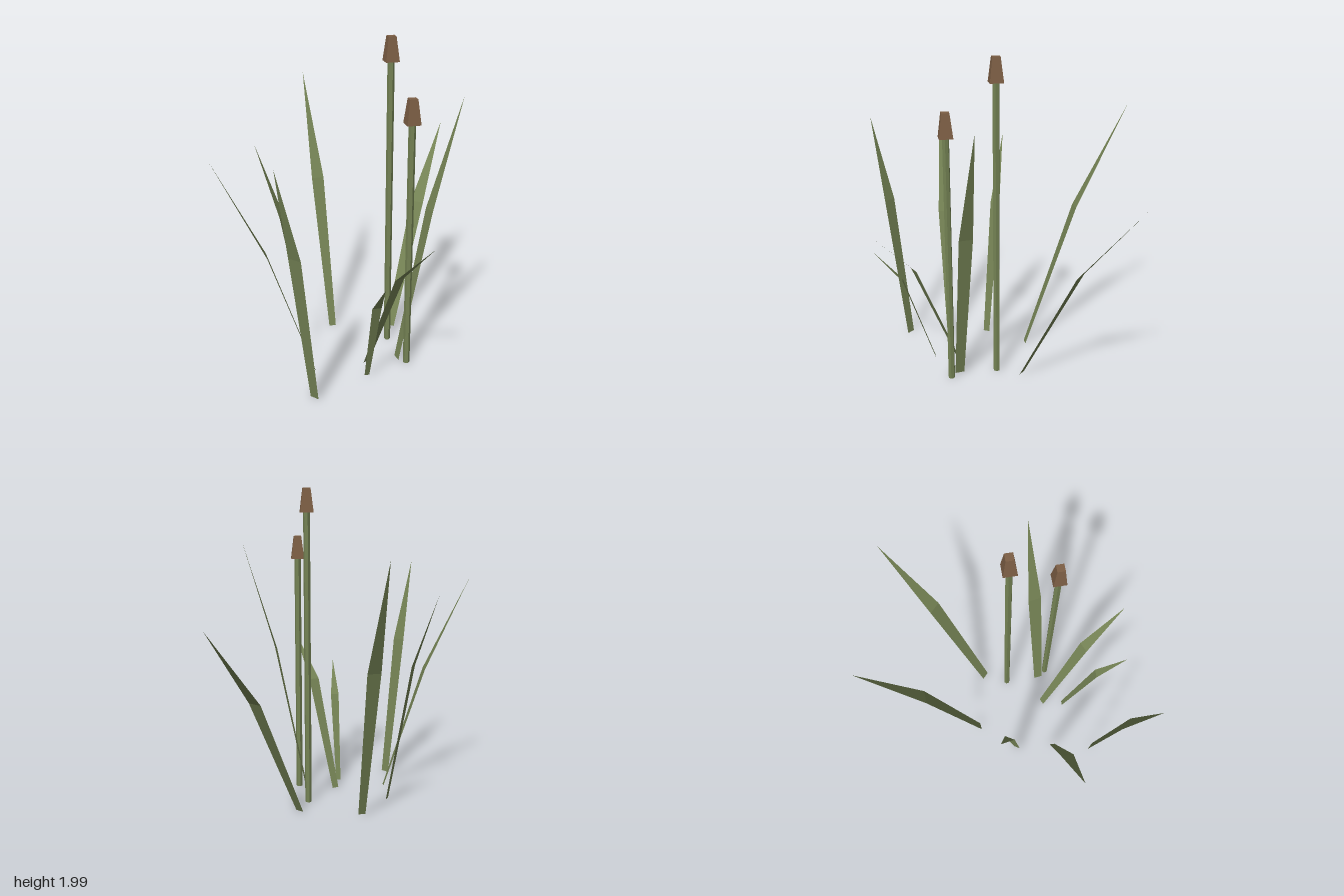
import * as THREE from 'three';

const leafGreen = new THREE.MeshStandardMaterial({ color: 0x748254, side: THREE.DoubleSide });
leafGreen.name = 'leafGreen';
const headBrown = new THREE.MeshStandardMaterial({ color: 0x7d5f45 });
headBrown.name = 'headBrown';

// Faceted copy with one normal per face
function faceted(geometry) {
  const g = geometry.index ? geometry.toNonIndexed() : geometry;
  g.computeVertexNormals();
  return g;
}

// Flat bent leaf: narrow base, wide middle, pointed tip
function makeBlade(base, mid, tip, baseWidth, midWidth) {
  const [b, m, t] = [base, mid, tip].map((p) => new THREE.Vector3(...p));
  const side = new THREE.Vector3(t.z - b.z, 0, b.x - t.x).normalize();
  const edge = (p, w) => p.clone().addScaledVector(side, w / 2);
  const b0 = edge(b, -baseWidth), b1 = edge(b, baseWidth);
  const m0 = edge(m, -midWidth), m1 = edge(m, midWidth);
  const corners = [b0, b1, m1, b0, m1, m0, m0, m1, t];
  const mesh = new THREE.Mesh(
    faceted(new THREE.BufferGeometry().setFromPoints(corners)), leafGreen);
  mesh.name = 'blade';
  return mesh;
}

// Straight stalk with a tapered four-sided seed head
function makeStalk(x, z, headBottom, headTop) {
  const stalk = new THREE.Group();
  stalk.name = 'stalk';
  const stem = new THREE.Mesh(
    faceted(new THREE.CylinderGeometry(0.021, 0.021, headBottom, 6)), leafGreen);
  stem.name = 'stem';
  stem.position.y = headBottom / 2;
  const height = headTop - headBottom;
  const head = new THREE.Mesh(
    faceted(new THREE.CylinderGeometry(0.033, 0.057, height, 4)), headBrown);
  head.name = 'seedHead';
  head.position.y = headBottom + height / 2;
  stalk.add(stem, head);
  stalk.position.set(x, 0, z);
  return stalk;
}

export function createModel() {
  const model = new THREE.Group();
  model.name = 'reeds';

  // base, middle, tip, base width, middle width
  const blades = [
    [[0.1, 0, -0.22], [0.087, 0.77, -0.61], [0.07, 1.24, -0.99], 0.056, 0.09],
    [[-0.235, 0, -0.018], [-0.475, 0.96, -0.233], [-0.725, 1.61, -0.45], 0.045, 0.08],
    [[0.322, 0, 0.105], [0.44, 0.98, -0.055], [0.56, 1.655, -0.22], 0.058, 0.085],
    [[-0.21, 0, 0.287], [-0.37, 0.9, 0.325], [-0.52, 1.35, 0.367], 0.042, 0.064],
    [[-0.043, 0, 0.48], [-0.235, 0.81, 0.663], [-0.445, 1.41, 0.86], 0.036, 0.078],
    [[0.178, 0, 0.235], [0.455, 0.7, 0.34], [0.72, 0.995, 0.443], 0.044, 0.072],
    [[0.255, 0, 0.362], [0.395, 0.57, 0.495], [0.52, 0.78, 0.627], 0.03, 0.055],
    [[0.105, 0, 0.712], [0.1, 0.95, 0.855], [0.095, 1.495, 0.995], 0.056, 0.084],
  ];
  for (const blade of blades) model.add(makeBlade(...blade));

  model.add(makeStalk(0.16, -0.067, 1.84, 1.985));
  model.add(makeStalk(0.395, 0.112, 1.545, 1.69));
  return model;
}
